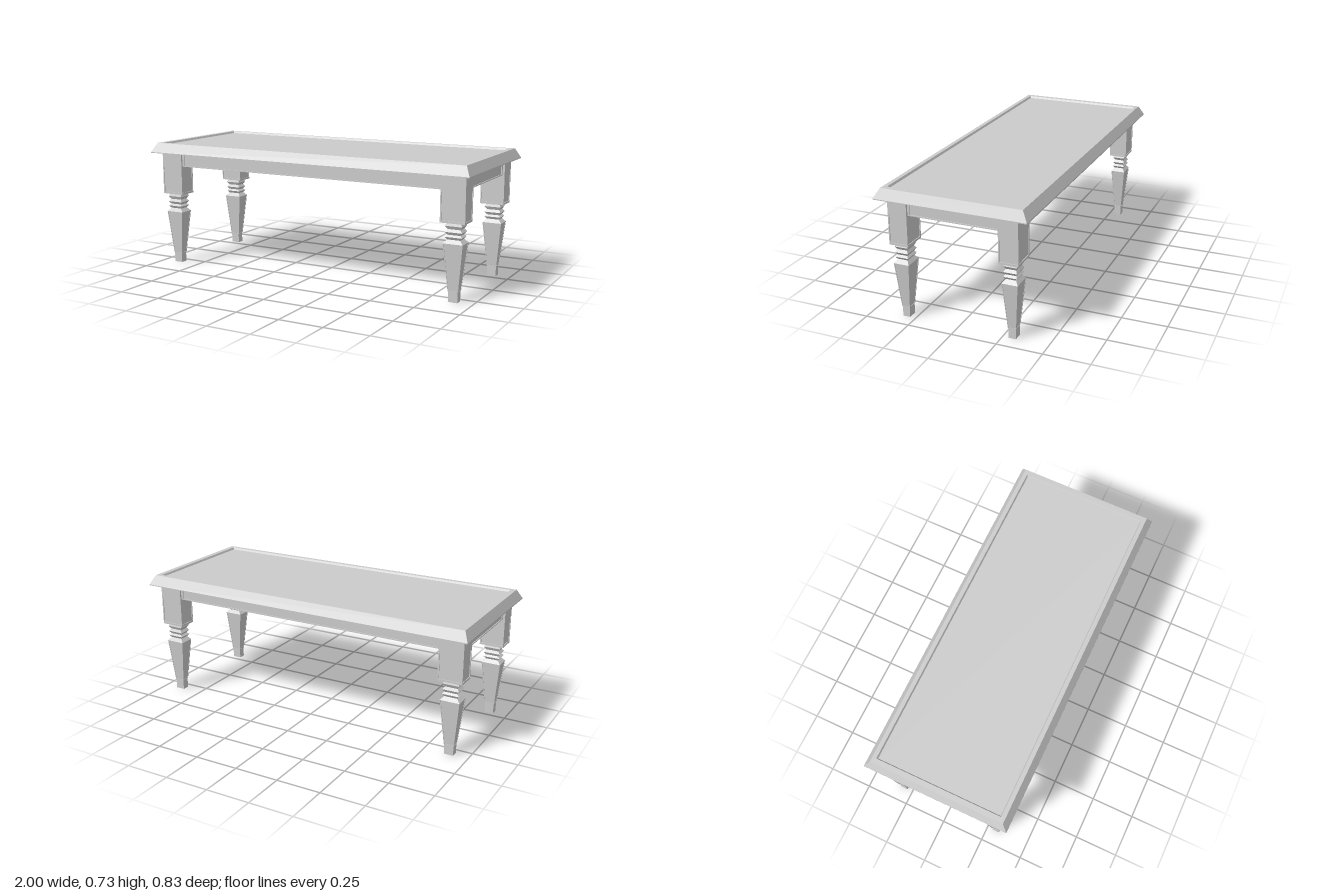
import * as THREE from 'three';

const material = new THREE.MeshStandardMaterial({ color: 0xcccccc, flatShading: true });

// Stack rectangular sections { y, x, z } (half sizes) into a closed solid.
// A section with panel: { ux, uz, v, depth } sinks a panel into the four faces above it;
// ux and uz are margin fractions across the x-wide and z-wide faces, v the vertical one.
function stack(name, sections) {
  const positions = [];
  const quad = (a, b, c, d) => [a, b, c, a, c, d].forEach((p) => positions.push(p.x, p.y, p.z));
  const rings = sections.map(({ y, x, z }) => [
    new THREE.Vector3(x, y, z), new THREE.Vector3(x, y, -z),
    new THREE.Vector3(-x, y, -z), new THREE.Vector3(-x, y, z),
  ]);

  function panelledFace(corners, u, v, depth) {
    const [a, b, c, d] = corners;
    const inward = new THREE.Vector3()
      .crossVectors(b.clone().sub(a), d.clone().sub(a)).normalize().multiplyScalar(-depth);
    const at = (s, t) => a.clone().lerp(b, s).lerp(d.clone().lerp(c, s), t);
    const rim = [at(u, v), at(1 - u, v), at(1 - u, 1 - v), at(u, 1 - v)];
    const floor = rim.map((p) => p.clone().add(inward));
    for (let i = 0; i < 4; i++) {
      const j = (i + 1) % 4;
      quad(corners[i], corners[j], rim[j], rim[i]);
      quad(rim[i], rim[j], floor[j], floor[i]);
    }
    quad(...floor);
  }

  for (let k = 0; k < rings.length - 1; k++) {
    const { panel } = sections[k];
    for (let i = 0; i < 4; i++) {
      const j = (i + 1) % 4;
      const corners = [rings[k][i], rings[k][j], rings[k + 1][j], rings[k + 1][i]];
      if (panel) panelledFace(corners, i % 2 ? panel.ux : panel.uz, panel.v, panel.depth);
      else quad(...corners);
    }
  }
  quad(...[...rings[0]].reverse());
  quad(...rings[rings.length - 1]);

  const geometry = new THREE.BufferGeometry();
  geometry.setAttribute('position', new THREE.Float32BufferAttribute(positions, 3));
  geometry.computeVertexNormals();
  const mesh = new THREE.Mesh(geometry, material);
  mesh.name = name;
  return mesh;
}

function createLeg() {
  const leg = new THREE.Group();
  const row = (y, z, panel) => ({ y, x: z * 1.28, z, panel });

  // Foot, panelled taper, shoulder and three angular beads
  leg.add(stack('taperedLeg', [
    row(0, 0.0205), row(0.058, 0.0205),
    row(0.058, 0.0225, { ux: 0.05, uz: 0.05, v: 0.01, depth: 0.002 }),
    row(0.315, 0.043), row(0.335, 0.028),
    row(0.349, 0.037), row(0.360, 0.028),
    row(0.375, 0.037), row(0.390, 0.028),
    row(0.407, 0.037), row(0.426, 0.03),
  ]));

  // Block joining the leg to the apron
  leg.add(stack('legBlock', [
    { y: 0.425, x: 0.069, z: 0.0535, panel: { ux: 0.055, uz: 0.055, v: 0.065, depth: 0.004 } },
    { y: 0.595, x: 0.069, z: 0.0535 },
    { y: 0.676, x: 0.069, z: 0.0535 },
  ]));
  return leg;
}

export function createModel() {
  const table = new THREE.Group();
  table.name = 'table';

  // Top with bevelled edge, flat rim and sunken centre
  table.add(stack('tableTop', [
    { y: 0.675, x: 1, z: 0.417 },
    { y: 0.68, x: 1, z: 0.417 },
    { y: 0.733, x: 0.973, z: 0.386 },
    { y: 0.733, x: 0.944, z: 0.363 },
    { y: 0.722, x: 0.938, z: 0.357 },
  ]));

  // Apron set back slightly from the leg blocks
  table.add(stack('apron', [
    { y: 0.595, x: 0.95, z: 0.347, panel: { ux: 0.073, uz: 0.158, v: 0.07, depth: 0.005 } },
    { y: 0.676, x: 0.95, z: 0.347 },
  ]));

  for (const x of [-1, 1]) {
    for (const z of [-1, 1]) {
      const leg = createLeg();
      leg.name = `${z > 0 ? 'front' : 'back'}${x > 0 ? 'Left' : 'Right'}Leg`;
      leg.position.set(x * 0.893, 0, z * 0.3035);
      table.add(leg);
    }
  }
  return table;
}
